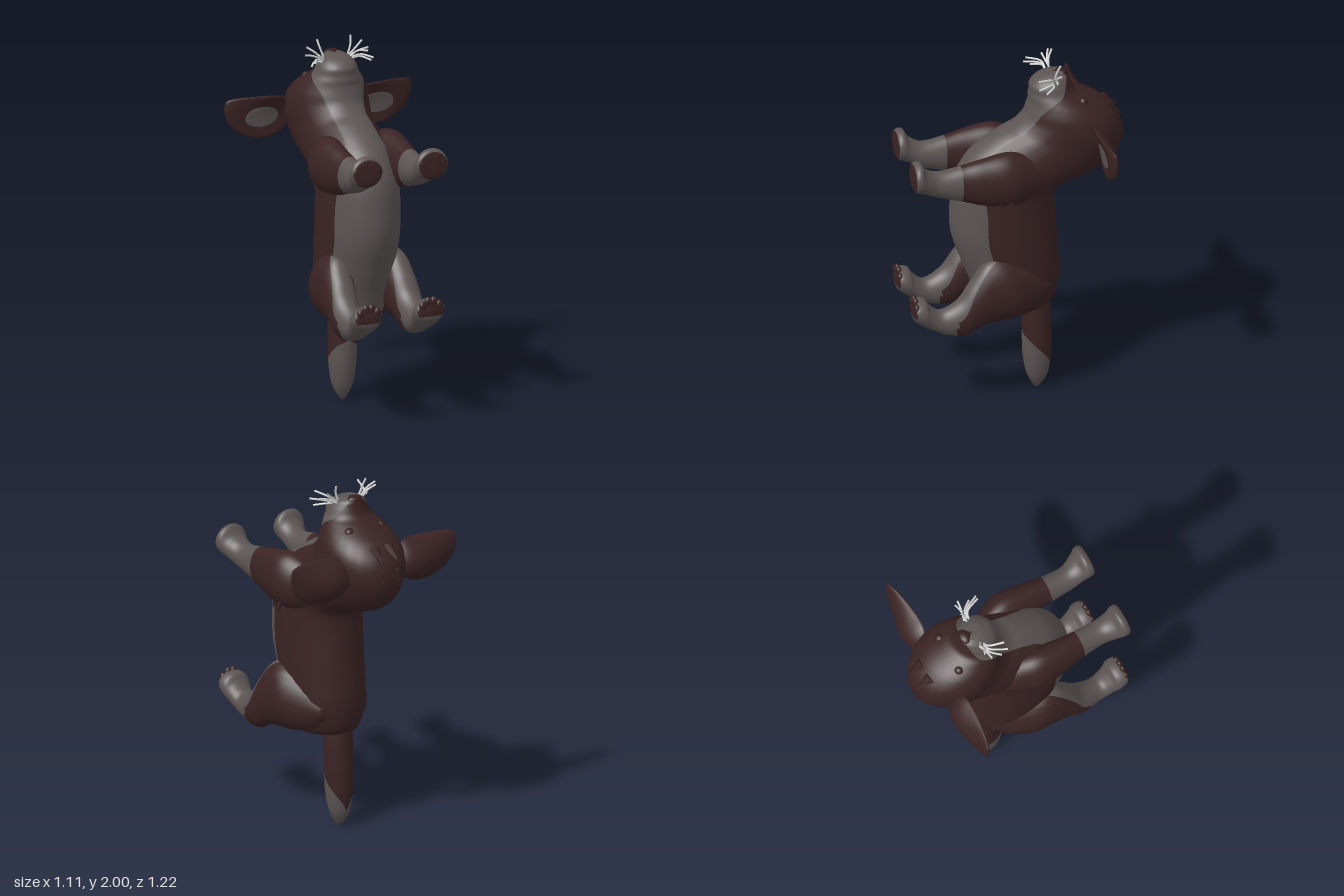
import * as THREE from 'three';

const mat = (name, color) => Object.assign(new THREE.MeshStandardMaterial({ color }), { name });

// Tube through sections [backZ, backY, frontZ, frontY, centreX, halfWidth, paleAngle].
// Each ring is an ellipse from its back point to its front point; a strip of paleAngle
// radians to each side of the front point is pale, unless isPale decides otherwise.
function loft(secs, side, rows, isPale = (y, z, inStrip) => inStrip) {
  const PALE = 16, DARK = 20, SEG = PALE + DARK;
  const curve = (i, j, k) => new THREE.CatmullRomCurve3(
    secs.map(s => new THREE.Vector3(s[i], s[j], s[k])), false, 'catmullrom', 0.5);
  const backs = curve(0, 1, 4), fronts = curve(2, 3, 4), widths = curve(5, 6, 4);
  const pos = [];
  for (let r = -1; r <= rows + 1; r++) {
    const t = THREE.MathUtils.clamp(r / rows, 0, 1);
    const size = r < 0 || r > rows ? 0 : 1; // end rings collapse to close the tube
    const a = backs.getPoint(t), b = fronts.getPoint(t), w = widths.getPoint(t);
    const pale = THREE.MathUtils.clamp(w.y, 0.002, 3.13);
    for (let j = 0; j < SEG; j++) {
      const ang = j < PALE ? -pale + 2 * pale * j / PALE
        : pale + (2 * Math.PI - 2 * pale) * (j - PALE) / DARK;
      const c = Math.cos(ang) * size / 2;
      pos.push(side * (a.z + Math.max(w.x, 0.002) * Math.sin(ang) * size),
        (a.y + b.y) / 2 + c * (b.y - a.y), (a.x + b.x) / 2 + c * (b.x - a.x));
    }
  }
  const lists = [[], []];
  let volume = 0;
  const P = i => new THREE.Vector3().fromArray(pos, i * 3);
  for (let r = 0; r < rows + 2; r++) for (let j = 0; j < SEG; j++) {
    const k = (j + 1) % SEG, p = r * SEG + j, q = r * SEG + k, u = p + SEG, v = q + SEG;
    const mid = P(p).add(P(v)).multiplyScalar(0.5);
    const list = lists[isPale(mid.y, mid.z, j < PALE) ? 1 : 0];
    for (const tri of [[p, q, v], [p, v, u]]) {
      list.push(...tri);
      volume += P(tri[0]).dot(P(tri[1]).cross(P(tri[2])));
    }
  }
  if (volume < 0) for (const l of lists)
    for (let i = 0; i < l.length; i += 3) [l[i], l[i + 1]] = [l[i + 1], l[i]];
  const geo = new THREE.BufferGeometry();
  geo.setAttribute('position', new THREE.Float32BufferAttribute(pos, 3));
  geo.setIndex([...lists[0], ...lists[1]]);
  geo.addGroup(0, lists[0].length, 0);
  geo.addGroup(lists[0].length, lists[1].length, 1);
  geo.computeVertexNormals();
  return geo;
}

const BODY_LOWER = [
  [-0.13, 0.525, 0.10, 0.515, 0, 0.08, 0.05],
  [-0.215, 0.56, 0.19, 0.535, 0, 0.16, 0.5],
  [-0.25, 0.70, 0.235, 0.68, 0, 0.20, 0.9],
  [-0.245, 0.85, 0.29, 0.83, 0, 0.21, 1.1],
  [-0.235, 1.00, 0.345, 1.00, 0, 0.216, 1.12],
  [-0.225, 1.15, 0.35, 1.17, 0, 0.216, 1.12],
  [-0.235, 1.24, 0.33, 1.32, 0, 0.215, 1.0],
  [-0.30, 1.275, 0.26, 1.45, 0, 0.212, 0.72],
  [-0.40, 1.305, 0.17, 1.53, 0, 0.208, 0.55],
];
const BODY_UPPER = [
  [-0.50, 1.35, 0.07, 1.59, 0, 0.205, 0.52],
  [-0.57, 1.42, 0.0, 1.62, 0, 0.21, 0.5],
  [-0.60, 1.52, -0.055, 1.67, 0, 0.22, 0.52],
  [-0.58, 1.63, -0.075, 1.72, 0, 0.213, 0.62],
  [-0.505, 1.72, -0.085, 1.76, 0, 0.185, 0.85],
  [-0.40, 1.785, -0.085, 1.79, 0, 0.15, 1.3],
  [-0.335, 1.82, -0.09, 1.82, 0, 0.125, 1.9],
  [-0.31, 1.87, -0.09, 1.855, 0, 0.108, 2.3],
  [-0.30, 1.905, -0.12, 1.89, 0, 0.082, 2.5],
  [-0.27, 1.922, -0.17, 1.915, 0, 0.045, 2.5],
];
const FRONT_LEG = [
  [-0.16, 1.29, -0.14, 1.42, 0.13, 0.06, 1.5],
  [-0.06, 1.25, -0.05, 1.50, 0.155, 0.085, 1.5],
  [0.05, 1.23, 0.07, 1.545, 0.18, 0.104, 1.5],
  [0.20, 1.25, 0.22, 1.525, 0.185, 0.085, 1.5],
  [0.33, 1.29, 0.33, 1.50, 0.18, 0.07, 1.5],
  [0.46, 1.33, 0.46, 1.48, 0.178, 0.067, 1.5],
  [0.54, 1.37, 0.53, 1.51, 0.19, 0.08, 1.5],
  [0.58, 1.385, 0.565, 1.56, 0.195, 0.092, 1.5],
  [0.605, 1.40, 0.60, 1.55, 0.195, 0.085, 1.5],
  [0.61, 1.44, 0.61, 1.51, 0.195, 0.04, 1.5],
];
const HIND_LEG = [
  [-0.19, 0.64, -0.17, 0.74, 0.09, 0.06, 0],
  [-0.11, 0.57, -0.06, 0.84, 0.125, 0.092, 0],
  [0.0, 0.54, 0.08, 0.90, 0.158, 0.118, 0.05],
  [0.12, 0.53, 0.19, 0.89, 0.175, 0.10, 0.5],
  [0.22, 0.52, 0.28, 0.79, 0.185, 0.088, 0.85],
  [0.31, 0.475, 0.35, 0.69, 0.19, 0.08, 1.3],
  [0.42, 0.49, 0.45, 0.635, 0.185, 0.066, 1.5],
  [0.51, 0.535, 0.51, 0.675, 0.185, 0.075, 1.5],
  [0.56, 0.565, 0.54, 0.715, 0.185, 0.088, 1.5],
  [0.60, 0.60, 0.59, 0.72, 0.185, 0.08, 1.5],
  [0.61, 0.63, 0.607, 0.69, 0.185, 0.04, 1.5],
];
const TAIL = [
  [-0.20, 0.60, -0.05, 0.60, 0, 0.07, 0],
  [-0.205, 0.48, -0.048, 0.48, 0, 0.08, 0],
  [-0.21, 0.36, -0.05, 0.36, 0, 0.08, 0],
  [-0.21, 0.31, -0.05, 0.31, 0, 0.08, 0.9],
  [-0.208, 0.20, -0.053, 0.20, 0, 0.075, 2.2],
  [-0.195, 0.10, -0.07, 0.10, 0, 0.06, 3.13],
  [-0.17, 0.04, -0.095, 0.04, 0, 0.035, 3.13],
  [-0.14, 0.002, -0.12, 0.002, 0, 0.008, 3.13],
];
// Ear runs along its local z and is turned sideways afterwards
const EAR = [
  [0.17, 1.50, 0.17, 1.62, 0.41, 0.022, 1.5],
  [0.23, 1.45, 0.23, 1.66, 0.43, 0.032, 1.5],
  [0.31, 1.43, 0.31, 1.67, 0.435, 0.035, 1.5],
  [0.40, 1.435, 0.42, 1.672, 0.43, 0.03, 1.5],
  [0.48, 1.475, 0.50, 1.668, 0.43, 0.022, 1.5],
  [0.535, 1.53, 0.545, 1.655, 0.435, 0.012, 1.5],
  [0.553, 1.585, 0.557, 1.625, 0.44, 0.004, 1.5],
];
const WHISKER_TIPS = [
  [0.19, 1.93, -0.205], [0.165, 1.965, -0.235], [0.10, 2.0, -0.24],
  [0.175, 1.90, -0.10], [0.145, 1.94, -0.105], [0.18, 1.875, -0.14],
];

// Cups an ear and tips its upper edge forward, fading toward the tip
function cup(geo) {
  const p = geo.attributes.position;
  for (let i = 0; i < p.count; i++) {
    const d = p.getY(i) - 1.555;
    const fade = Math.min(1, Math.max(0, (0.57 - Math.abs(p.getX(i))) / 0.27));
    p.setZ(i, p.getZ(i) + fade * (0.22 * d + 3.5 * d * d - 0.025));
  }
  geo.computeVertexNormals();
  return geo;
}

export function createModel() {
  const group = new THREE.Group();
  const brown = mat('brown fur', 0x3a2324), grey = mat('grey fur', 0x5b5453);
  const dark = mat('nose and eye brown', 0x351e1f), white = mat('whisker white', 0xdcdcdc);
  const fur = [brown, grey];

  const add = (name, geo, material) => {
    const m = new THREE.Mesh(geo, material);
    m.name = name;
    group.add(m);
    return m;
  };
  const blob = (name, material, x, y, z, rx, ry, rz) => {
    const m = add(name, new THREE.SphereGeometry(1, 20, 14), material);
    m.position.set(x, y, z);
    m.scale.set(rx, ry, rz);
  };
  // Pointed lock of hair from one point to another
  const tuft = (name, from, to, radius) => {
    const a = new THREE.Vector3(...from), b = new THREE.Vector3(...to), d = b.clone().sub(a);
    const m = add(name, new THREE.ConeGeometry(radius, d.length(), 6), brown);
    m.position.copy(a).addScaledVector(d, 0.5);
    m.quaternion.setFromUnitVectors(new THREE.Vector3(0, 1, 0), d.normalize());
  };

  add('bodyAndHead', loft([...BODY_LOWER, ...BODY_UPPER], 1, 90), fur);
  add('tail', loft(TAIL, 1, 40), fur);
  blob('nose', dark, 0, 1.905, -0.268, 0.046, 0.026, 0.034);

  for (const s of [1, -1]) {
    // Legs with brown soles
    add('frontLeg', loft(FRONT_LEG, s, 60, (y, z) => z > 0.33 && z < 0.602), fur);
    add('hindLeg', loft(HIND_LEG, s, 60, (y, z, strip) =>
      (strip || z > 0.37) && !(z > 0.597 && y > 0.63)), fur);
    for (const [x, y, k] of [[0.195, 1.455, 1], [0.185, 0.665, 0.82]]) {
      blob('solePad', brown, s * x, y - 0.012 * k, 0.598, 0.064 * k, 0.05 * k, 0.014);
      for (let i = 0; i < 4; i++) {
        const o = i - 1.5;
        blob('toePad', brown, s * (x + o * 0.04 * k), y + (0.06 - 0.014 * o * o) * k, 0.594,
          0.026 * k, 0.032 * k, 0.016);
      }
    }

    // Ears with pale lining
    add('ear', cup(loft(EAR, s, 30, () => false).rotateY(s * Math.PI / 2)), fur);
    add('earLining', cup(new THREE.SphereGeometry(1, 24, 16).scale(0.1, 0.058, 0.008)
      .rotateY(s * 0.06).translate(s * 0.345, 1.55, -0.398)), grey);

    blob('eye', dark, s * 0.105, 1.764, -0.362, 0.028, 0.026, 0.028);
    blob('muzzleCheek', grey, s * 0.042, 1.862, -0.2, 0.056, 0.044, 0.06);

    // Whiskers
    WHISKER_TIPS.forEach(([x, y, z], i) => {
      const path = new THREE.CatmullRomCurve3([
        new THREE.Vector3(s * 0.06, 1.875, -0.23 + 0.008 * i),
        new THREE.Vector3(s * (0.04 + x * 0.5), (y + 1.905) / 2, -0.16 + z * 0.25),
        new THREE.Vector3(s * x, y, z),
      ]);
      add('whisker', new THREE.TubeGeometry(path, 10, 0.006, 5), white);
    });

    // Hair behind the elbows
    for (let i = 0; i < 5; i++)
      tuft('elbowTuft', [s * (0.235 - 0.008 * i), 1.36, 0.05 + 0.05 * i],
        [s * (0.25 - 0.012 * i), 1.195 + 0.022 * i, 0.09 + 0.055 * i], 0.036);

    // Hair lying along the back of the head
    for (let i = 0; i < 3; i++)
      tuft('napeTuft', [s * 0.045, 1.69 - 0.065 * i, -0.50 - 0.03 * i],
        [s * 0.05, 1.635 - 0.06 * i, -0.592 - 0.007 * i], 0.04);
  }
  return group;
}
